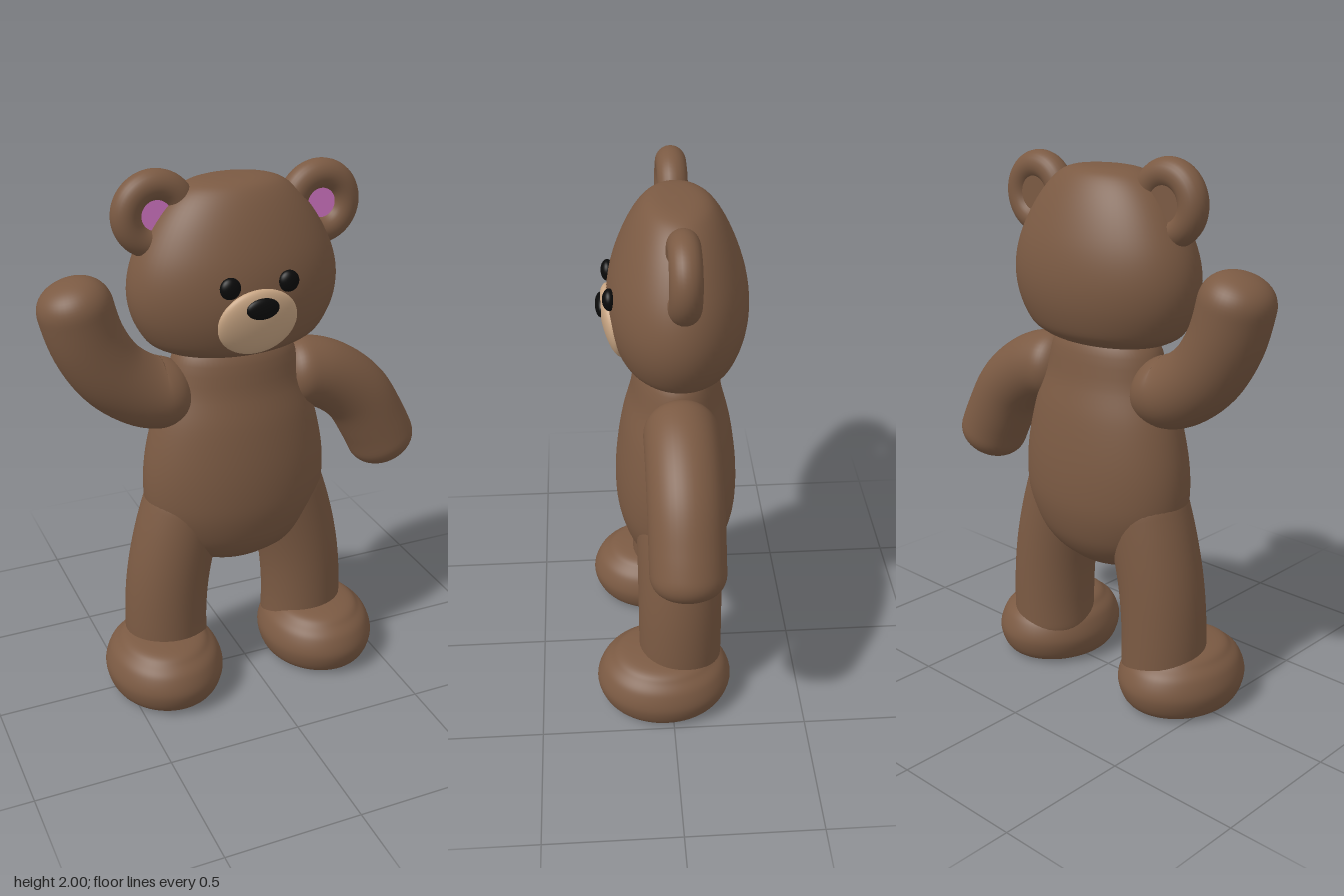
import * as THREE from 'three';

const CX = -0.03, CZ = -0.037; // body axis

const mat = (name, color) => {
  const m = new THREE.MeshStandardMaterial({ color });
  m.name = name;
  return m;
};

// Smooth spun solid from [radius, height] points, squashed to an ellipse
function spun(points, sx, sz) {
  const curve = new THREE.SplineCurve(points.map(([r, y]) => new THREE.Vector2(r, y)));
  const profile = curve.getPoints(56).map(p => new THREE.Vector2(Math.max(p.x, 0), p.y));
  return new THREE.LatheGeometry(profile, 64).scale(sx, 1, sz);
}

// Bent round limb along [x, y] points, with rounded ends
function limb(points, radius, cap) {
  const curve = new THREE.CatmullRomCurve3(points.map(([x, y]) => new THREE.Vector3(x, y, CZ)));
  const length = curve.getLength(), rows = 56, sides = 40;
  const pos = [], index = [];
  for (let i = 0; i <= rows; i++) {
    const u = (1 - Math.cos(Math.PI * i / rows)) / 2;
    const p = curve.getPointAt(u), t = curve.getTangentAt(u);
    const d = Math.min(1, Math.min(u, 1 - u) * length / cap);
    const r = radius * Math.pow(Math.max(0, 1 - Math.pow(1 - d, 2.3)), 1 / 2.3);
    for (let j = 0; j < sides; j++) {
      const a = j / sides * Math.PI * 2, c = Math.cos(a) * r;
      pos.push(p.x - t.y * c, p.y + t.x * c, p.z + Math.sin(a) * r);
      if (i < rows) {
        const k = i * sides + j, n = i * sides + (j + 1) % sides;
        index.push(k, n, k + sides, n, n + sides, k + sides);
      }
    }
  }
  const g = new THREE.BufferGeometry();
  g.setAttribute('position', new THREE.Float32BufferAttribute(pos, 3));
  g.setIndex(index);
  g.computeVertexNormals();
  return g;
}

const ellipsoid = (rx, ry, rz) => new THREE.SphereGeometry(1, 40, 28).scale(rx, ry, rz);

export function createModel() {
  const model = new THREE.Group();
  model.name = 'teddyBear';
  const fur = mat('brownFur', 0x7b5a43);
  const cream = mat('creamMuzzle', 0xc9a684);
  const pink = mat('pinkInnerEar', 0xd678c8);
  const black = mat('black', 0x0a0a0a);

  const add = (name, geometry, material, x = 0, y = 0, z = 0, parent = model) => {
    const m = new THREE.Mesh(geometry, material);
    m.name = name;
    m.position.set(x, y, z);
    parent.add(m);
    return m;
  };

  // Head and body share the same oval plan
  add('head', spun([
    [0, 1.335], [0.12, 1.336], [0.21, 1.342], [0.275, 1.362], [0.328, 1.4], [0.374, 1.49],
    [0.386, 1.59], [0.36, 1.7], [0.292, 1.82], [0.21, 1.91], [0.13, 1.946], [0, 1.953],
  ], 1, 0.635), fur, CX, 0, -0.04);
  add('body', spun([
    [0, 0.495], [0.12, 0.497], [0.18, 0.52], [0.24, 0.556], [0.3, 0.622], [0.342, 0.72],
    [0.353, 0.82], [0.343, 0.94], [0.31, 1.08], [0.262, 1.2], [0.2, 1.36], [0, 1.37],
  ], 1, 0.637), fur, CX, 0, CZ);

  // Arms: the left one hangs, the right one waves
  add('leftArm', limb([
    [0.15, 1.2], [0.32, 1.17], [0.465, 1.07], [0.555, 0.93], [0.63, 0.772],
  ], 0.132, 0.1), fur);
  add('rightArm', limb([
    [-0.205, 1.225], [-0.33, 1.2], [-0.47, 1.28], [-0.565, 1.42], [-0.63, 1.652],
  ], 0.132, 0.11), fur);

  for (const s of [1, -1]) {
    const side = s > 0 ? 'left' : 'right';

    // Legs lean in towards the hips
    add(side + 'Leg', limb([
      [0.285, 0.06], [0.287, 0.28], [0.272, 0.45], [0.235, 0.62], [0.17, 0.82],
    ].map(([x, y]) => [CX + s * x, y]), 0.157, 0.1), fur);

    // Feet
    add(side + 'Foot', spun([
      [0, 0.005], [0.1, 0.005], [0.172, 0.008], [0.205, 0.035], [0.222, 0.1],
      [0.205, 0.162], [0.175, 0.198], [0.13, 0.228], [0, 0.245],
    ], 1, 1.16), fur, CX + s * 0.322, -0.005, 0.027);

    // Ears: rolled rim, back plate and inner disc
    const ear = new THREE.Group();
    ear.name = side + 'Ear';
    ear.position.set(s > 0 ? 0.297 : -0.315, s > 0 ? 1.825 : 1.847, CZ);
    model.add(ear);
    add('earRim', new THREE.TorusGeometry(0.1, 0.053, 24, 56), fur, 0, 0, 0, ear);
    add('earBack', new THREE.CylinderGeometry(0.1, 0.1, 0.05, 40).rotateX(Math.PI / 2),
      fur, 0, 0, -0.012, ear);
    add('innerEar', new THREE.CircleGeometry(0.07, 40), pink, 0, 0, 0.023, ear);

    // Eyes
    add(side + 'Eye', ellipsoid(0.037, 0.038, 0.024), black, CX + s * 0.107, 1.633, 0.196);
  }

  // Muzzle and nose
  add('muzzle', ellipsoid(0.147, 0.128, 0.042), cream, CX, 1.495, 0.178).rotation.x = 0.24;
  add('nose', ellipsoid(0.06, 0.038, 0.02), black, CX, 1.557, 0.224);

  return model;
}
